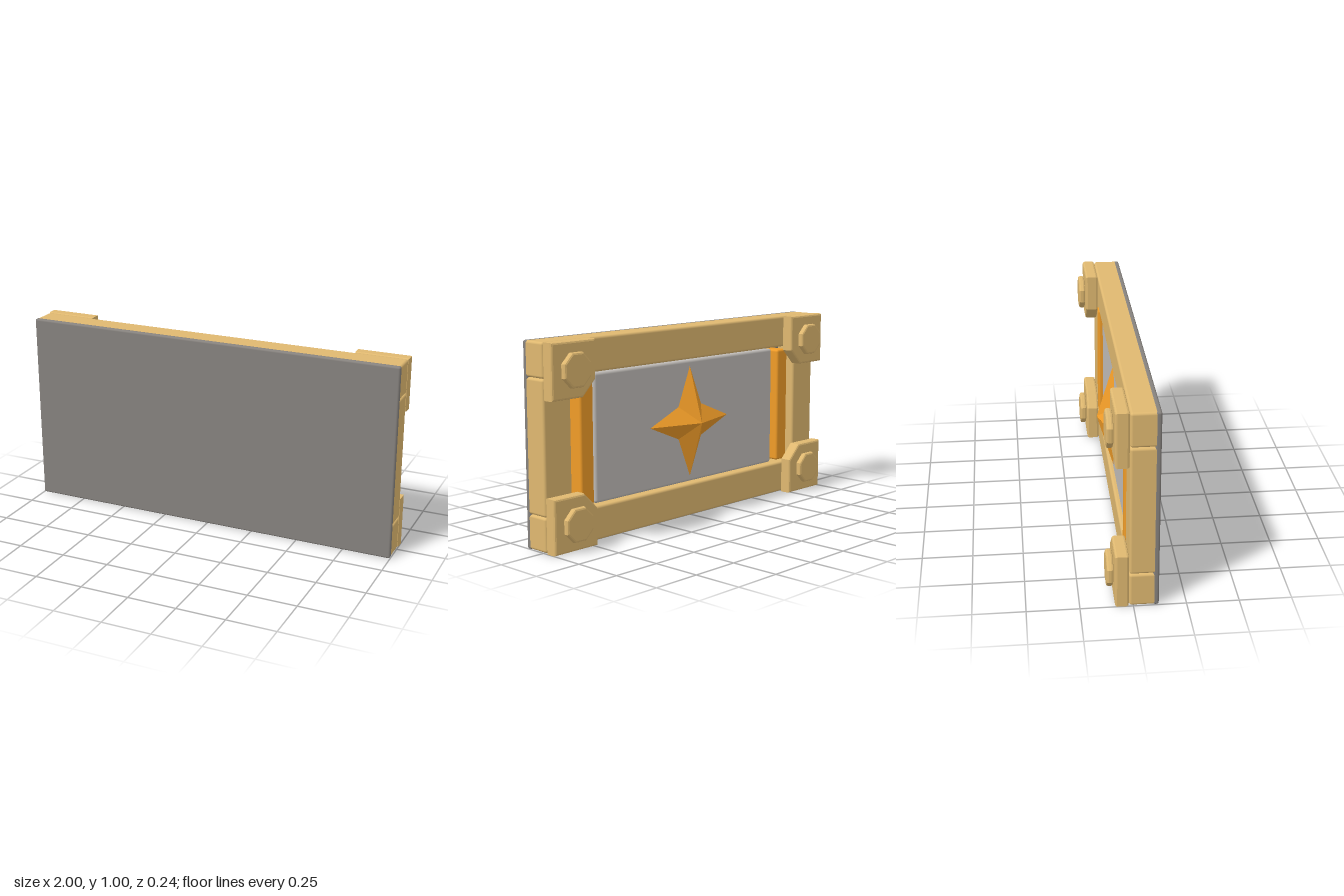
import * as THREE from 'three';
import { RoundedBoxGeometry } from 'three/addons/geometries/RoundedBoxGeometry.js';

const wood = new THREE.MeshStandardMaterial({ color: 0xdfb870 });
const gold = new THREE.MeshStandardMaterial({ color: 0xf09c28 });
const goldFlat = new THREE.MeshStandardMaterial({ color: 0xf09c28, flatShading: true });
const slate = new THREE.MeshStandardMaterial({ color: 0x86827e });
const paleStone = new THREE.MeshStandardMaterial({ color: 0xc0bcb8 });

export function createModel() {
  const group = new THREE.Group();
  const add = (name, geometry, material) => {
    const mesh = new THREE.Mesh(geometry, material);
    mesh.name = name;
    group.add(mesh);
    return mesh;
  };
  // Rounded box given by its two extents on each axis
  const box = (name, [x0, x1], [y0, y1], [z0, z1], radius, material) =>
    add(name, new RoundedBoxGeometry(x1 - x0, y1 - y0, z1 - z0, 3, radius), material)
      .position.set((x0 + x1) / 2, (y0 + y1) / 2, (z0 + z1) / 2);
  // Bevelled slab: outline in x/y, filling z0 to z1
  const slab = (name, points, z0, z1, bevel, material) => {
    const geometry = new THREE.ExtrudeGeometry(new THREE.Shape(points), {
      depth: z1 - z0 - 2 * bevel, bevelThickness: bevel, bevelSize: bevel,
      bevelOffset: -bevel, bevelSegments: 2,
    });
    geometry.translate(0, 0, z0 + bevel);
    return add(name, geometry, material);
  };

  // Backing plate and the raised panel behind it
  box('backingPlate', [-1, 1], [0, 1], [0.092, 0.12], 0.01, slate);
  box('panel', [-0.665, 0.665], [0.178, 0.822], [0, 0.1], 0.015, paleStone);

  // Frame beams
  box('bottomBeam', [-0.999, 0.999], [0.001, 0.171], [-0.02, 0.119], 0.013, wood);
  box('topBeam', [-0.999, 0.999], [0.829, 0.999], [-0.02, 0.119], 0.013, wood);
  for (const s of [-1, 1]) {
    const span = (a, b) => (s > 0 ? [a, b] : [-b, -a]);
    box('sideBeam', span(0.83, 0.999), [0.173, 0.827], [-0.02, 0.119], 0.013, wood);
    box('trimStrip', span(0.69, 0.775), [0.187, 0.813], [-0.021, 0.1], 0.012, gold);

    // Corner blocks, chamfered toward the centre, each with an octagonal bolt
    for (const t of [-1, 1]) {
      const outline = [[1, 0.5], [1, 0.23], [0.81, 0.23], [0.73, 0.31], [0.73, 0.5]]
        .map(([x, y]) => new THREE.Vector2(s * x, 0.5 + t * y));
      slab('cornerBlock', outline, -0.086, -0.021, 0.01, wood);

      const octagon = Array.from({ length: 8 }, (_, i) => {
        const a = (i + 0.5) * Math.PI / 4;
        return new THREE.Vector2(0.089 * Math.cos(a), 0.089 * Math.sin(a));
      });
      slab('cornerBolt', octagon, -0.12, -0.087, 0.01, wood)
        .position.set(s * 0.867, 0.5 + t * 0.367, 0);
    }
  }

  // Four-pointed faceted star, ridged on its outer side and flat behind
  const ring = Array.from({ length: 8 }, (_, i) => {
    const r = i % 2 ? 0.12 : 0.29, a = i * Math.PI / 4;
    return [r * Math.cos(a), r * Math.sin(a), 0];
  });
  const corners = [];
  ring.forEach((p, i) => {
    const q = ring[(i + 1) % 8];
    corners.push(...q, ...p, 0, 0, -0.087, ...p, ...q, 0, 0, 0);
  });
  const star = new THREE.BufferGeometry();
  star.setAttribute('position', new THREE.Float32BufferAttribute(corners, 3));
  star.computeVertexNormals();
  add('star', star, goldFlat).position.set(0, 0.5, -0.001);

  return group;
}
